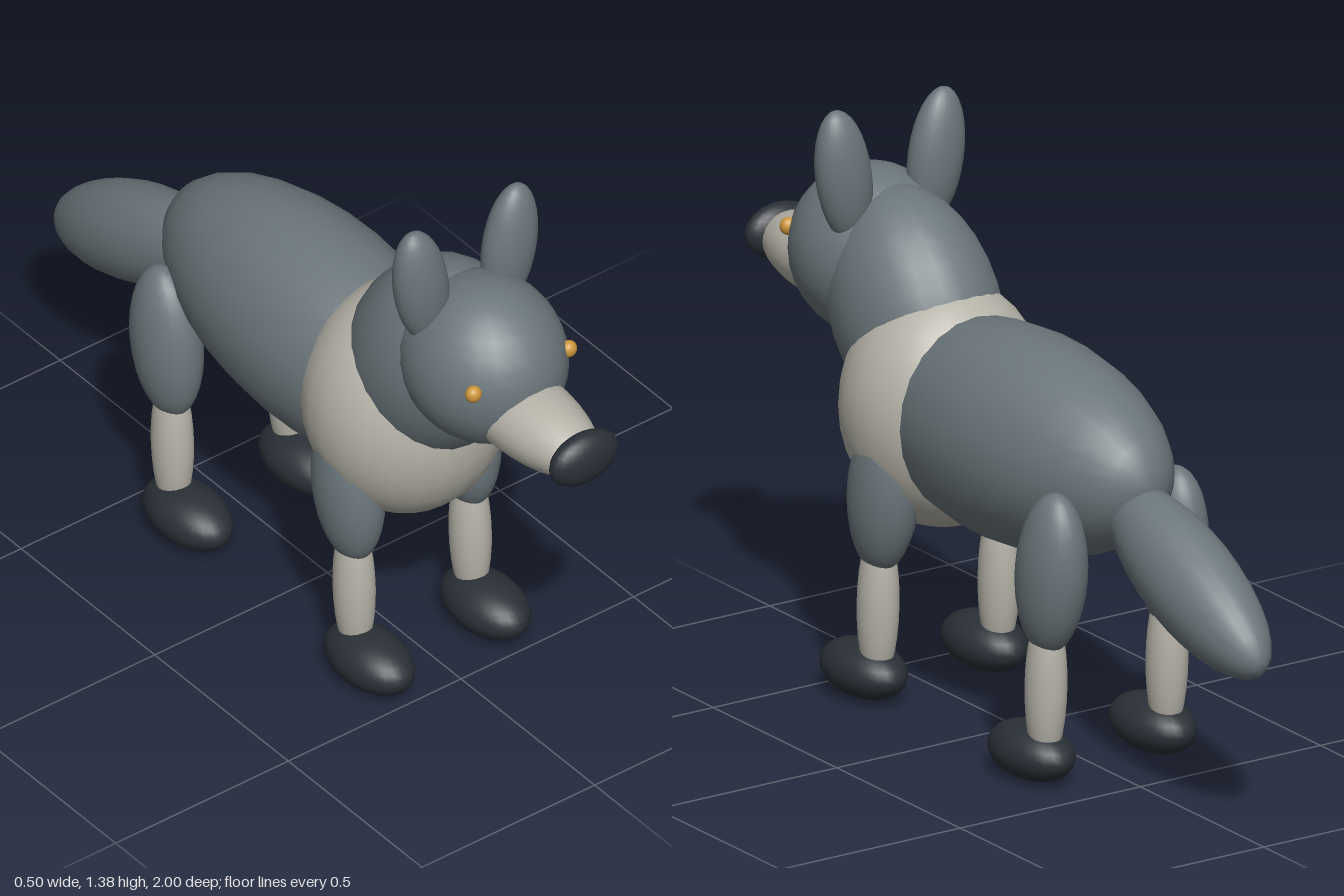
import * as THREE from 'three';

const material = (name, color) => {
  const m = new THREE.MeshStandardMaterial({ color });
  m.name = name;
  return m;
};

export function createModel() {
  const fur = material('greyFur', 0x6b767b);
  const pale = material('paleFur', 0xb5b3a8);
  const dark = material('darkPads', 0x2a3037);
  const amber = material('amberEyes', 0xcc963c);

  const root = new THREE.Group();
  root.name = 'canine';
  const ball = new THREE.SphereGeometry(1, 24, 16);

  // Ellipsoid with its poles on local y, placed and tilted about x or z
  function blob(parent, name, mat, position, radii, tiltX = 0, tiltZ = 0) {
    const mesh = new THREE.Mesh(ball, mat);
    mesh.name = name;
    mesh.position.set(...position);
    mesh.scale.set(...radii);
    mesh.rotation.set(tiltX, 0, tiltZ);
    parent.add(mesh);
    return mesh;
  }

  // Trunk, from tail to neck
  const lengthwise = Math.PI / 2;
  blob(root, 'tail', fur, [0, 0.56, -0.7], [0.107, 0.32, 0.122], 1.134);
  blob(root, 'body', fur, [0, 0.716, -0.025], [0.225, 0.52, 0.257], lengthwise + 0.035);
  blob(root, 'chest', pale, [0, 0.705, 0.295], [0.245, 0.295, 0.24]);
  blob(root, 'neck', fur, [0, 0.895, 0.41], [0.19, 0.3, 0.22], 0.557);

  // Head
  const head = new THREE.Group();
  head.name = 'head';
  root.add(head);
  blob(head, 'skull', fur, [0, 0.992, 0.583], [0.19, 0.204, 0.21]);
  blob(head, 'muzzle', pale, [0, 0.92, 0.73], [0.106, 0.265, 0.096], lengthwise);
  blob(head, 'nose', dark, [0, 0.928, 0.959], [0.095, 0.067, 0.042]);

  // Paired parts: left is +x
  for (const [side, s] of [['left', 1], ['right', -1]]) {
    blob(head, side + 'Ear', fur, [s * 0.128, 1.213, 0.515], [0.07, 0.165, 0.053], 0, -s * 0.15);
    blob(head, side + 'Eye', amber, [s * 0.138, 1.033, 0.725], [0.02, 0.021, 0.018]);

    for (const [end, z] of [['Front', 0.295], ['Back', -0.385]]) {
      const leg = new THREE.Group();
      leg.name = side + end + 'Leg';
      leg.position.set(s * 0.168, 0, z);
      root.add(leg);
      blob(leg, 'upperLeg', fur, [0, 0.52, 0], [0.076, 0.2, 0.099], -0.12);
      blob(leg, 'lowerLeg', pale, [0, 0.24, 0.022], [0.048, 0.2, 0.053], -0.03);
      blob(leg, 'paw', dark, [0, 0.068, 0.08], [0.083, 0.067, 0.133]);
    }
  }
  return root;
}
